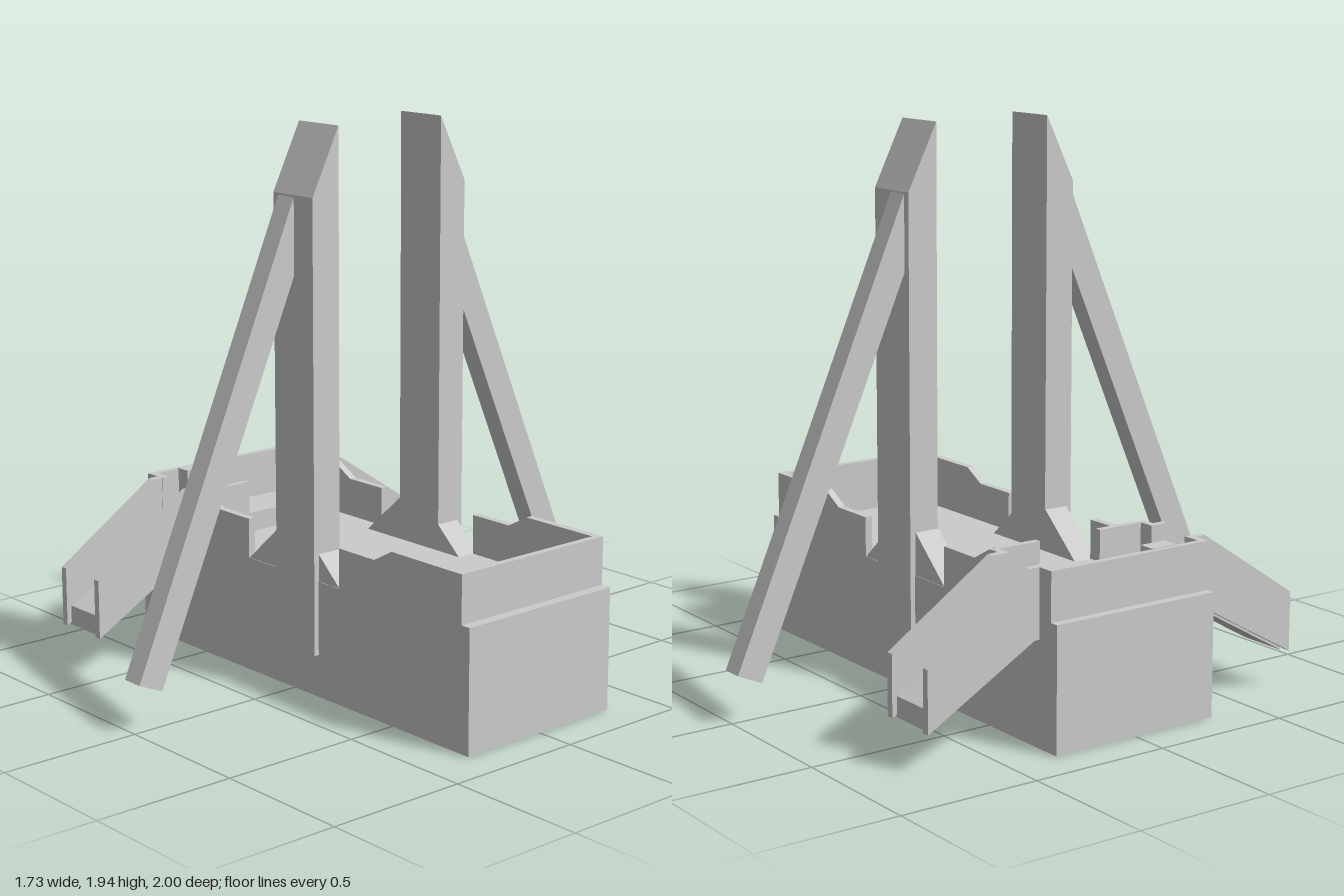
import * as THREE from 'three';

const material = new THREE.MeshStandardMaterial({ color: 0xcccccc, flatShading: true });

const extrude = (points, depth) => new THREE.ExtrudeGeometry(
  new THREE.Shape(points.map(([a, b]) => new THREE.Vector2(a, b))),
  { depth, bevelEnabled: false });

export function createModel() {
  const model = new THREE.Group();

  const add = (name, geometry) => {
    const mesh = new THREE.Mesh(geometry, material);
    mesh.name = name;
    model.add(mesh);
    return mesh;
  };
  // Outline in x,y pushed from z0 to z1
  const alongZ = (name, points, z0, z1) =>
    add(name, extrude(points, Math.abs(z1 - z0)).translate(0, 0, Math.min(z0, z1)));
  // Outline in z,y pushed from x0 to x1
  const alongX = (name, points, x0, x1) =>
    add(name, extrude(points, x1 - x0).rotateY(-Math.PI / 2).translate(x1, 0, 0));
  const box = (name, x0, x1, y0, y1, z0, z1) =>
    add(name, new THREE.BoxGeometry(x1 - x0, y1 - y0, z1 - z0)
      .translate((x0 + x1) / 2, (y0 + y1) / 2, (z0 + z1) / 2));

  // Solid base with end ledges and a slightly raised entry floor
  alongZ('base', [[-0.865, 0], [0.862, 0], [0.862, 0.43], [0.8, 0.43], [0.8, 0.41],
    [-0.495, 0.41], [-0.495, 0.43], [-0.865, 0.43]], -0.322, 0.322);

  // End walls
  box('rightEndWall', -0.833, -0.81, 0.42, 0.597, -0.322, 0.322);
  box('leftEndWall', 0.8, 0.825, 0.4, 0.597, -0.322, 0.322);

  for (const s of [1, -1]) {
    const side = s > 0 ? 'front' : 'back';
    const mirror = (points) => points.map(([z, y]) => [s * z, y]);

    // Long parapet, dropping in steps toward the tower
    const zIn = s * 0.295, zOut = s * 0.322;
    alongZ(side + 'CornerWall', [[-0.82, 0.42], [-0.745, 0.42], [-0.745, 0.597], [-0.82, 0.597]], zIn, zOut);
    alongZ(side + 'EntryParapet', [[-0.575, 0.4], [-0.245, 0.4], [-0.245, 0.55], [-0.42, 0.55],
      [-0.505, 0.597], [-0.575, 0.597]], zIn, zOut);
    alongZ(side + 'DeckParapet', [[0.235, 0.4], [0.81, 0.4], [0.81, 0.597], [0.495, 0.597],
      [0.41, 0.55], [0.235, 0.55]], zIn, zOut);

    // Tower with a slanted top, wedge footings and a raking strut
    alongX(side + 'Tower', mirror([[0.228, 0.15], [0.34, 0.15], [0.34, 1.71], [0.228, 1.937]]), -0.072, 0.128);
    alongZ(side + 'TowerFooting', [[-0.255, 0.4], [0.245, 0.4], [0.128, 0.505], [0.1, 0.56],
      [-0.075, 0.56]], s * 0.228, s * 0.32);
    alongX(side + 'Strut', mirror([[1, 0.175], [0.91, 0.135], [0.335, 1.455], [0.335, 1.715]]), -0.047, 0.033);

    // Access ramp between two sloping side walls
    alongX(side + 'Ramp', mirror([[0.31, 0.43], [0.325, 0.43], [0.73, 0.2], [0.73, 0.13],
      [0.325, 0.36], [0.31, 0.36]]), -0.75, -0.572);
    for (const x of [-0.773, -0.575]) {
      alongX(side + 'RampWall', mirror([[0.295, 0.597], [0.36, 0.597], [0.748, 0.34], [0.748, 0.13],
        [0.34, 0.36], [0.295, 0.36]]), x, x + 0.026);
    }
  }

  // Partition wall either side of the doorway
  box('partitionBack', -0.518, -0.495, 0.4, 0.597, -0.3, -0.13);
  box('partitionFront', -0.518, -0.495, 0.4, 0.597, 0.12, 0.3);

  // Doorway step with tapered edges
  const step = new THREE.BoxGeometry(0.115, 0.08, 0.37);
  const p = step.attributes.position;
  for (let i = 0; i < p.count; i++) {
    if (p.getY(i) > 0) {
      if (p.getX(i) < 0) p.setX(i, p.getX(i) + 0.014);
      p.setZ(i, p.getZ(i) * 0.94);
    }
  }
  step.computeVertexNormals();
  add('doorStep', step.translate(-0.5525, 0.44, -0.003));

  // Small console against the end wall
  box('console', -0.815, -0.755, 0.42, 0.6, 0.1, 0.2);

  return model;
}
